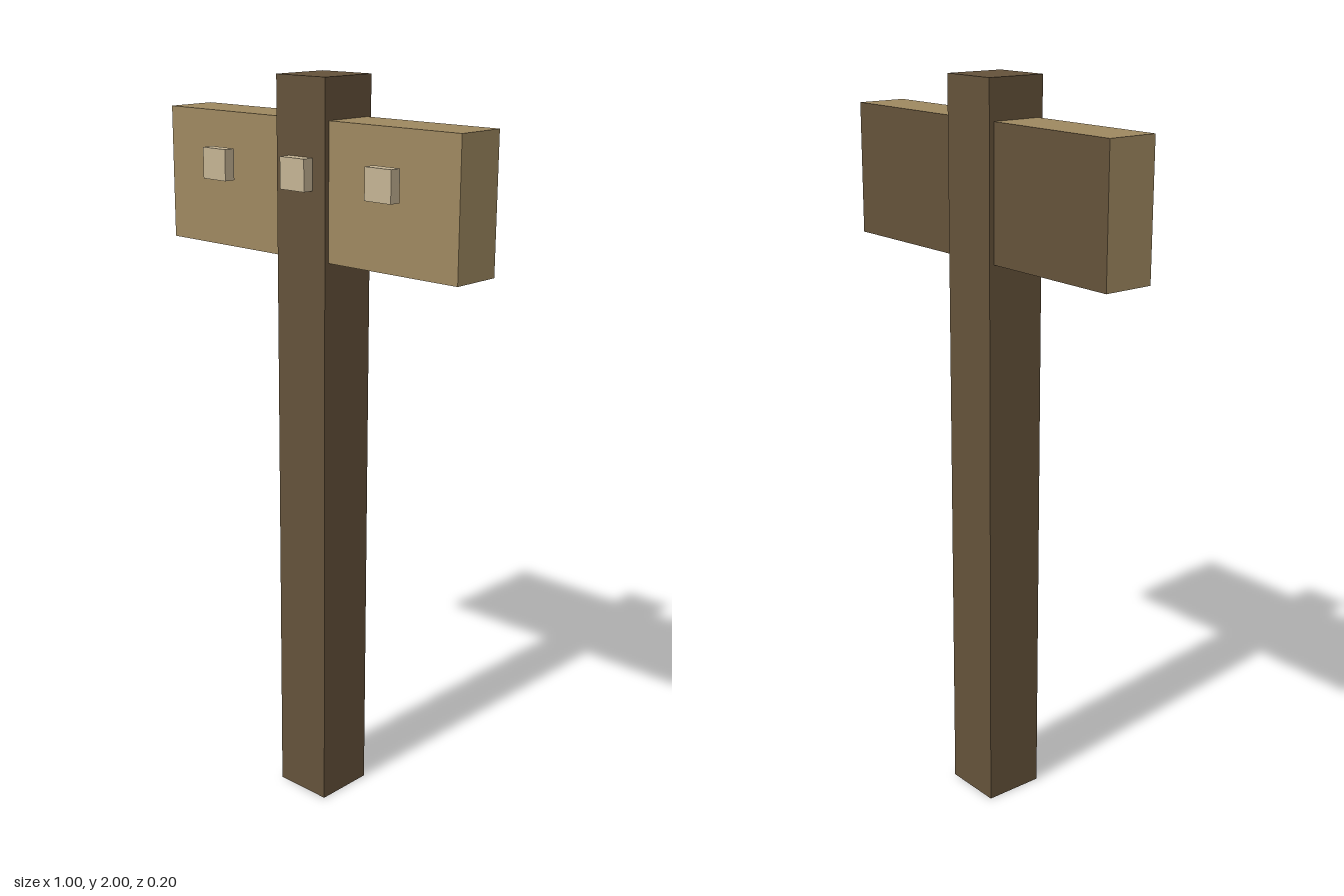
import * as THREE from 'three';

function material(name, color) {
  const m = new THREE.MeshStandardMaterial({ color });
  m.name = name;
  return m;
}

// Box given by its lower and upper corners
function block(name, min, max, mat) {
  const size = max.map((v, i) => v - min[i]);
  const mesh = new THREE.Mesh(new THREE.BoxGeometry(...size), mat);
  mesh.position.set(...max.map((v, i) => (v + min[i]) / 2));
  mesh.name = name;
  return mesh;
}

export function createModel() {
  const darkWood = material('dark wood', 0x64523a);
  const paleWood = material('pale wood', 0x9e8860);
  const pegWood = material('peg wood', 0xc4b393);
  const model = new THREE.Group();
  model.name = 'signpost';

  // Upright post
  model.add(block('post', [-0.084, 0, -0.101], [0.084, 2, 0.069], darkWood));

  // Cross board: pale front, ends and top; dark underside and back
  model.add(block('board', [-0.5, 1.54, -0.087], [0.5, 1.895, 0.055],
    [paleWood, paleWood, paleWood, darkWood, paleWood, darkWood]));

  // Row of square pegs standing just off the board's front
  [['rightPeg', -0.286], ['middlePeg', 0], ['leftPeg', 0.286]].forEach(([name, x]) => {
    model.add(block(name, [x - 0.042, 1.72, 0.069], [x + 0.042, 1.802, 0.101], pegWood));
  });

  return model;
}
